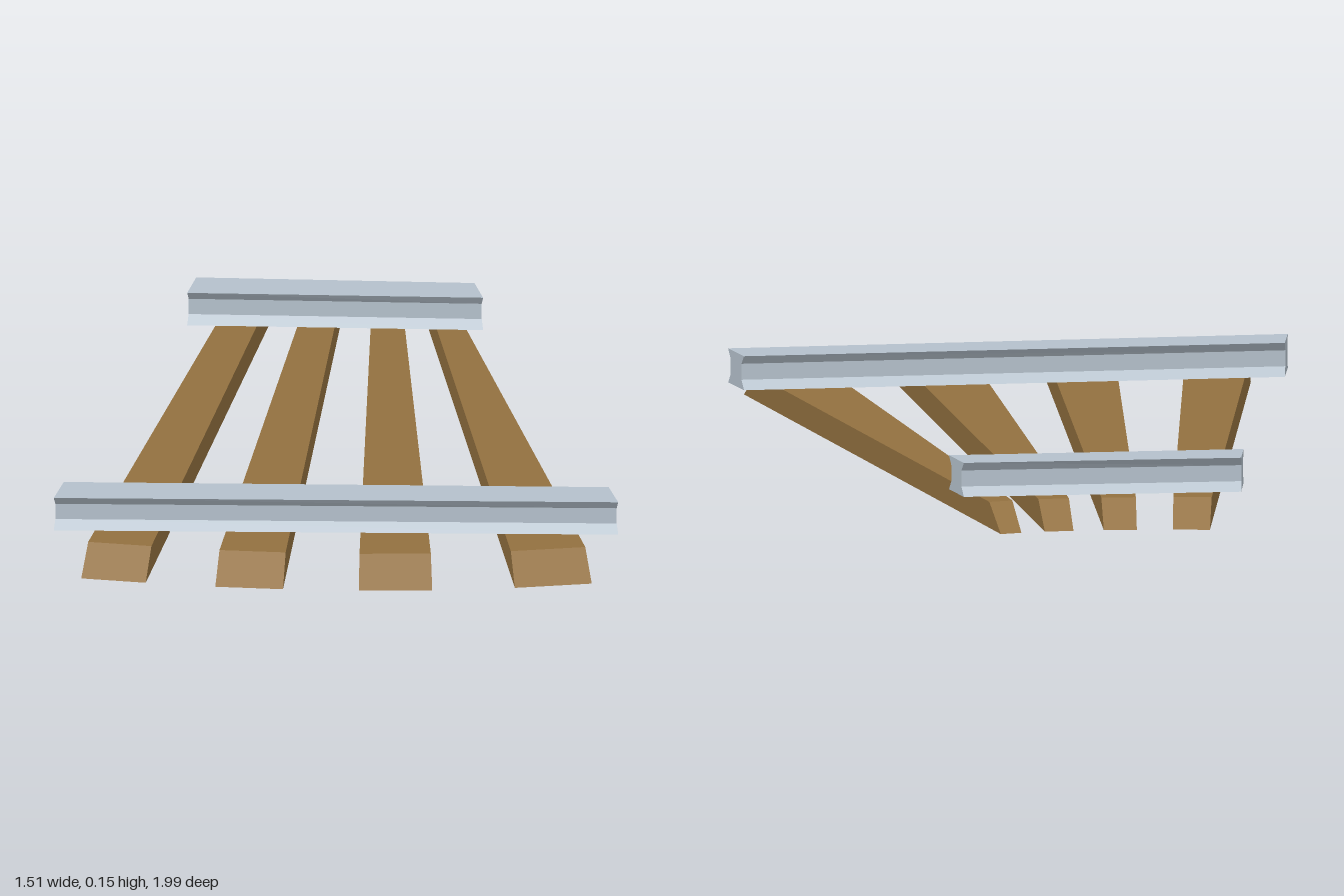
import * as THREE from 'three';

// Flat-shaded solid between two matching rings, each counterclockwise seen from the end ring's side
function loft(start, end) {
  const pos = [];
  const tri = (...pts) => pts.forEach((p) => pos.push(p.x, p.y, p.z));
  const centre = (ring) =>
    ring.reduce((sum, p) => sum.add(p), new THREE.Vector3()).divideScalar(ring.length);
  const c0 = centre(start), c1 = centre(end);
  start.forEach((a, i) => {
    const j = (i + 1) % start.length;
    tri(a, start[j], end[j]);
    tri(a, end[j], end[i]);
    tri(c0, start[j], a);
    tri(c1, end[i], end[j]);
  });
  const geometry = new THREE.BufferGeometry();
  geometry.setAttribute('position', new THREE.Float32BufferAttribute(pos, 3));
  geometry.computeVertexNormals();
  return geometry;
}

const PLANK_TOP = 0.065;
const BEAM_TOP = 0.15;
const BEVEL = 0.083;

// Tapered plank on the ground; its sloped ends make the top shorter than the base
function plankGeometry([bx, bz, backWidth], [fx, fz, frontWidth]) {
  const back = new THREE.Vector3(bx, 0, bz);
  const axis = new THREE.Vector3(fx, 0, fz).sub(back);
  const length = axis.length();
  axis.normalize();
  const side = new THREE.Vector3(axis.z, 0, -axis.x);
  const corner = (d, y, s) => {
    const half = THREE.MathUtils.lerp(backWidth, frontWidth, d / length) / 2;
    return back.clone().addScaledVector(axis, d).addScaledVector(side, s * half).setY(y);
  };
  const ring = (low, high) => [
    corner(low, 0, -1), corner(low, 0, 1),
    corner(high, PLANK_TOP, 1), corner(high, PLANK_TOP, -1),
  ];
  return loft(ring(0, BEVEL), ring(length, length - BEVEL));
}

// Beam section: t runs from the back edge (0) to the front edge (1), with a waisted middle
const beamSection = [
  [1, PLANK_TOP], [0, PLANK_TOP], [0.16, 0.088], [0.16, 0.128],
  [0, BEAM_TOP], [1, BEAM_TOP], [0.84, 0.128], [0.84, 0.088],
];

// Crossbeam with slanted ends; each end is given by its back and front corners
function beamGeometry(left, right) {
  const ring = ([x0, z0, x1, z1]) => beamSection.map(([t, y]) => new THREE.Vector3(
    THREE.MathUtils.lerp(x0, x1, t), y, THREE.MathUtils.lerp(z0, z1, t)));
  return loft(ring(left), ring(right));
}

export function createModel() {
  const model = new THREE.Group();
  model.name = 'plankFrame';
  const wood = new THREE.MeshStandardMaterial({ color: 0x92703f, flatShading: true });
  const steel = new THREE.MeshStandardMaterial({ color: 0xb4c0cb, flatShading: true });
  const add = (name, geometry, material) => {
    const mesh = new THREE.Mesh(geometry, material);
    mesh.name = name;
    model.add(mesh);
  };

  // Four fanned planks: [x, z, width] at the back and front
  [
    [[-0.667, -0.852, 0.091], [-0.363, 0.98, 0.161]],
    [[-0.497, -0.89, 0.081], [-0.033, 0.913, 0.167]],
    [[-0.353, -0.935, 0.071], [0.31, 0.805, 0.18]],
    [[-0.243, -0.986, 0.053], [0.662, 0.641, 0.191]],
  ].forEach(([back, front], i) => add(`plank${i + 1}`, plankGeometry(back, front), wood));

  // Two crossbeams resting on the planks
  add('backBeam', beamGeometry(
    [-0.757, -0.68, -0.741, -0.572], [-0.103, -0.879, -0.048, -0.791]), steel);
  add('frontBeam', beamGeometry(
    [-0.576, 0.754, -0.561, 0.866], [0.691, 0.326, 0.749, 0.416]), steel);

  return model;
}
